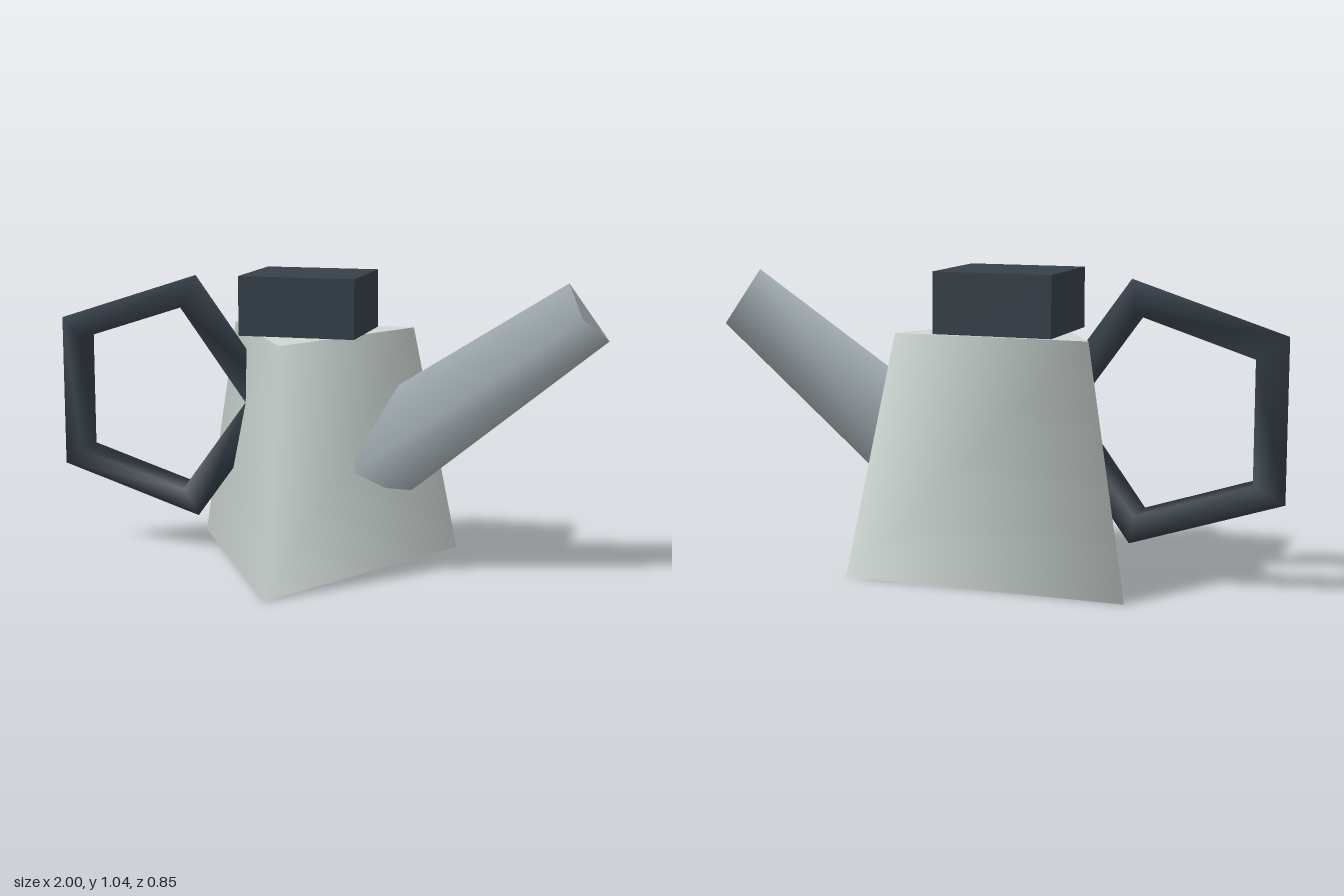
import * as THREE from 'three';

const AXIS_X = -0.05;
const AXIS_Z = -0.142;

function part(name, geometry, color, x, y, z = AXIS_Z) {
  const mesh = new THREE.Mesh(geometry, new THREE.MeshStandardMaterial({ color }));
  mesh.name = name;
  mesh.position.set(x, y, z);
  return mesh;
}

export function createModel() {
  const model = new THREE.Group();
  model.name = 'wateringPot';

  // Tapered three-sided body, one corner facing the front
  const height = 0.832;
  model.add(part('body', new THREE.CylinderGeometry(0.39, 0.567, height, 3), 0xcfd8d4, AXIS_X, height / 2));

  // Box lid resting on the body
  model.add(part('lid', new THREE.BoxGeometry(0.414, 0.208, 0.362), 0x37414a, AXIS_X, height + 0.104));

  // Five-sided ring handle with a triangular section
  model.add(part('handle', new THREE.TorusGeometry(0.39, 0.078, 3, 5), 0x37414a, -0.621, 0.575, -0.145));

  // Tapered three-sided spout running from its base to its tip
  const base = new THREE.Vector2(0.17, 0.37);
  const tip = new THREE.Vector2(0.927, 0.922);
  const along = tip.clone().sub(base);
  const spout = part('spout', new THREE.CylinderGeometry(0.14, 0.206, along.length(), 3), 0xadb9be,
    (base.x + tip.x) / 2, (base.y + tip.y) / 2);
  spout.rotation.z = along.angle() - Math.PI / 2;
  model.add(spout);

  return model;
}
